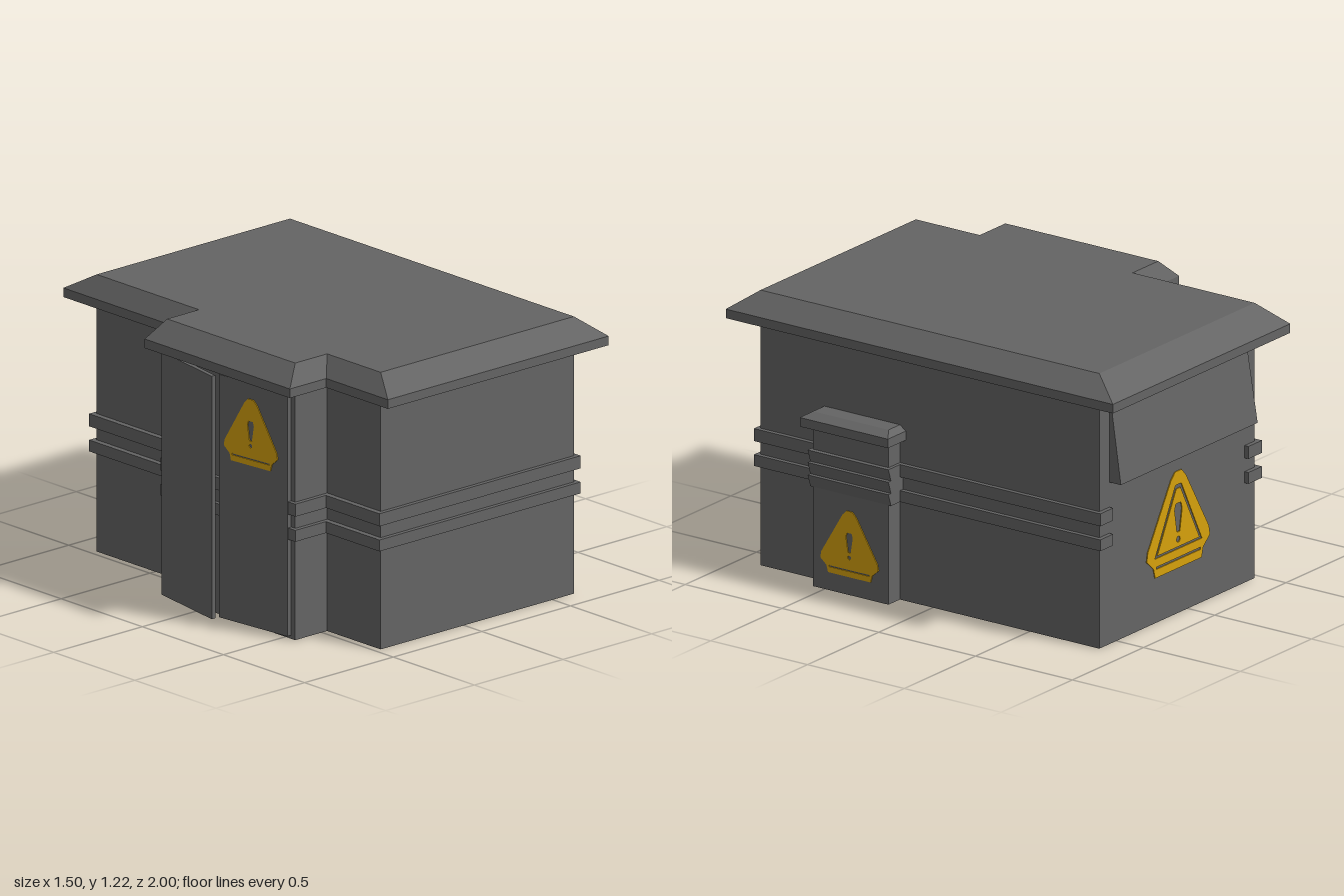
import * as THREE from 'three';

const concrete = new THREE.MeshStandardMaterial({ color: 0x646464 });
concrete.name = 'concreteGrey';
const yellow = new THREE.MeshStandardMaterial({ color: 0xd6a10c });
yellow.name = 'warningYellow';

// Solid through matching [x, z] outlines stacked at rising heights, flat shaded
function loft(name, layers) {
  const v2 = layers.map(([pts]) => pts.map(([x, z]) => new THREE.Vector2(x, -z)));
  if (THREE.ShapeUtils.area(v2[0]) < 0) v2.forEach((l) => l.reverse());
  const at = (l, i) => [v2[l][i].x, layers[l][1], -v2[l][i].y];
  const n = v2[0].length, last = layers.length - 1, pos = [];
  for (let l = 0; l < last; l++) {
    for (let i = 0; i < n; i++) {
      const j = (i + 1) % n;
      pos.push(...at(l, i), ...at(l, j), ...at(l + 1, j));
      pos.push(...at(l, i), ...at(l + 1, j), ...at(l + 1, i));
    }
  }
  for (const [a, b, c] of THREE.ShapeUtils.triangulateShape(v2[last], []))
    pos.push(...at(last, a), ...at(last, b), ...at(last, c));
  for (const [a, b, c] of THREE.ShapeUtils.triangulateShape(v2[0], []))
    pos.push(...at(0, c), ...at(0, b), ...at(0, a));
  const geo = new THREE.BufferGeometry();
  geo.setAttribute('position', new THREE.Float32BufferAttribute(pos, 3));
  geo.computeVertexNormals();
  const mesh = new THREE.Mesh(geo, concrete);
  mesh.name = name;
  return mesh;
}

const rect = (x0, x1, z0, z1) => [[x0, z0], [x1, z0], [x1, z1], [x0, z1]];

// T-like footprint: main block plus an annex on the -x side
const footprint = (x0, x1, z0, z1, ax, az0, az1) => [
  [x0, z0], [x1, z0], [x1, z1], [x0, z1], [x0, az1], [ax, az1], [ax, az0], [x0, az0],
];

const path = (pts, Type = THREE.Path) => new Type(pts.map(([x, y]) => new THREE.Vector2(x, y)));

// Triangular warning plate standing on y = 0 and facing +z
function warningSign(name, framed) {
  const group = new THREE.Group();
  group.name = name;
  const outline = path([
    [-0.11, 0], [0.11, 0], [0.118, 0.03], [0.15, 0.058], [0.145, 0.085], [0.035, 0.27],
    [0.015, 0.29], [-0.015, 0.29], [-0.035, 0.27], [-0.145, 0.085], [-0.15, 0.058], [-0.118, 0.03],
  ], THREE.Shape);
  // Slit that parts the lower bar
  outline.holes.push(path([[-0.105, 0.025], [0.105, 0.025], [0.105, 0.032], [-0.105, 0.032]]));
  const mark = [
    path([[-0.007, 0.108], [0.007, 0.108], [0.018, 0.175], [0.012, 0.194], [-0.012, 0.194], [-0.018, 0.175]]),
    new THREE.Path().absarc(0, 0.086, 0.009, 0, Math.PI * 2),
  ];
  const shapes = [outline];
  if (framed) {
    outline.holes.push(path([[-0.112, 0.057], [0.112, 0.057], [0.014, 0.25], [-0.014, 0.25]]));
    const inner = path([[-0.1, 0.064], [0.1, 0.064], [0.01, 0.238], [-0.01, 0.238]], THREE.Shape);
    inner.holes.push(...mark);
    shapes.push(inner);
  } else outline.holes.push(...mark);
  const plate = new THREE.Mesh(
    new THREE.ExtrudeGeometry(shapes, { depth: 0.004, bevelEnabled: false, curveSegments: 5 }), yellow);
  plate.name = 'warningPlate';
  group.add(plate);
  return group;
}

export function createModel() {
  const model = new THREE.Group();
  model.name = 'utilityBuilding';

  // Walls and hipped roof rim
  const walls = footprint(-0.47, 0.62, -0.86, 0.89, -0.65, -0.23, 0.56);
  const eaves = footprint(-0.53, 0.715, -1, 1, -0.735, -0.275, 0.62);
  model.add(loft('walls', [[walls, 0], [walls, 1.1]]));
  model.add(loft('roof', [[eaves, 1.095], [eaves, 1.135], [walls, 1.215]]));

  // Two bands round the walls, returning only a little onto the back
  const band = [
    ...footprint(-0.495, 0.64, -0.88, 0.91, -0.668, -0.25, 0.58),
    [-0.495, -0.88], [-0.4, -0.88], [-0.4, -0.85], [0.55, -0.85], [0.55, -0.88],
  ].slice(1);
  for (const [y0, y1] of [[0.44, 0.49], [0.55, 0.605]])
    model.add(loft('wallBand', [[band, y0], [band, y1]]));

  // Pillar on the +x wall with a bevelled cap and slanted louvres
  const pillar = rect(0.6, 0.7, 0.17, 0.56);
  const cap = rect(0.6, 0.745, 0.14, 0.595);
  model.add(loft('pillar', [[pillar, 0], [pillar, 0.72]]));
  model.add(loft('pillarCap', [[cap, 0.71], [cap, 0.75], [pillar, 0.772]]));
  for (const y of [0.44, 0.495, 0.55])
    model.add(loft('louvre', [
      [rect(0.61, 0.703, 0.155, 0.572), y],
      [rect(0.61, 0.722, 0.155, 0.572), y + 0.055],
    ]));

  // Sloping hood on the back wall
  model.add(loft('backHood', [
    [rect(-0.41, 0.55, -0.92, -0.85), 0.715],
    [rect(-0.4, 0.55, -0.865, -0.85), 1.09],
  ]));

  // Pair of doors on the annex, the rear one ajar
  const rearDoor = [[-0.685, -0.225], [-0.665, -0.225], [-0.73, 0.155], [-0.75, 0.155]];
  const frontDoor = [[-0.71, 0.155], [-0.672, 0.535], [-0.645, 0.535], [-0.69, 0.155]];
  model.add(loft('rearDoor', [[rearDoor, 0.015], [rearDoor, 1.08]]));
  model.add(loft('frontDoor', [[frontDoor, 0.015], [frontDoor, 1.08]]));

  // Warning signs on the pillar, front door and back wall
  const pillarSign = warningSign('pillarSign', false);
  pillarSign.position.set(0.7, 0.08, 0.37);
  pillarSign.rotation.y = Math.PI / 2;
  const doorSign = warningSign('doorSign', false);
  doorSign.position.set(-0.692, 0.72, 0.335);
  doorSign.rotation.y = Math.atan2(-0.38, 0.038);
  const backSign = warningSign('backSign', true);
  backSign.position.set(0.07, 0.2, -0.86);
  backSign.rotation.y = Math.PI;
  backSign.scale.set(1.48, 1.48, 1);
  model.add(pillarSign, doorSign, backSign);

  return model;
}
